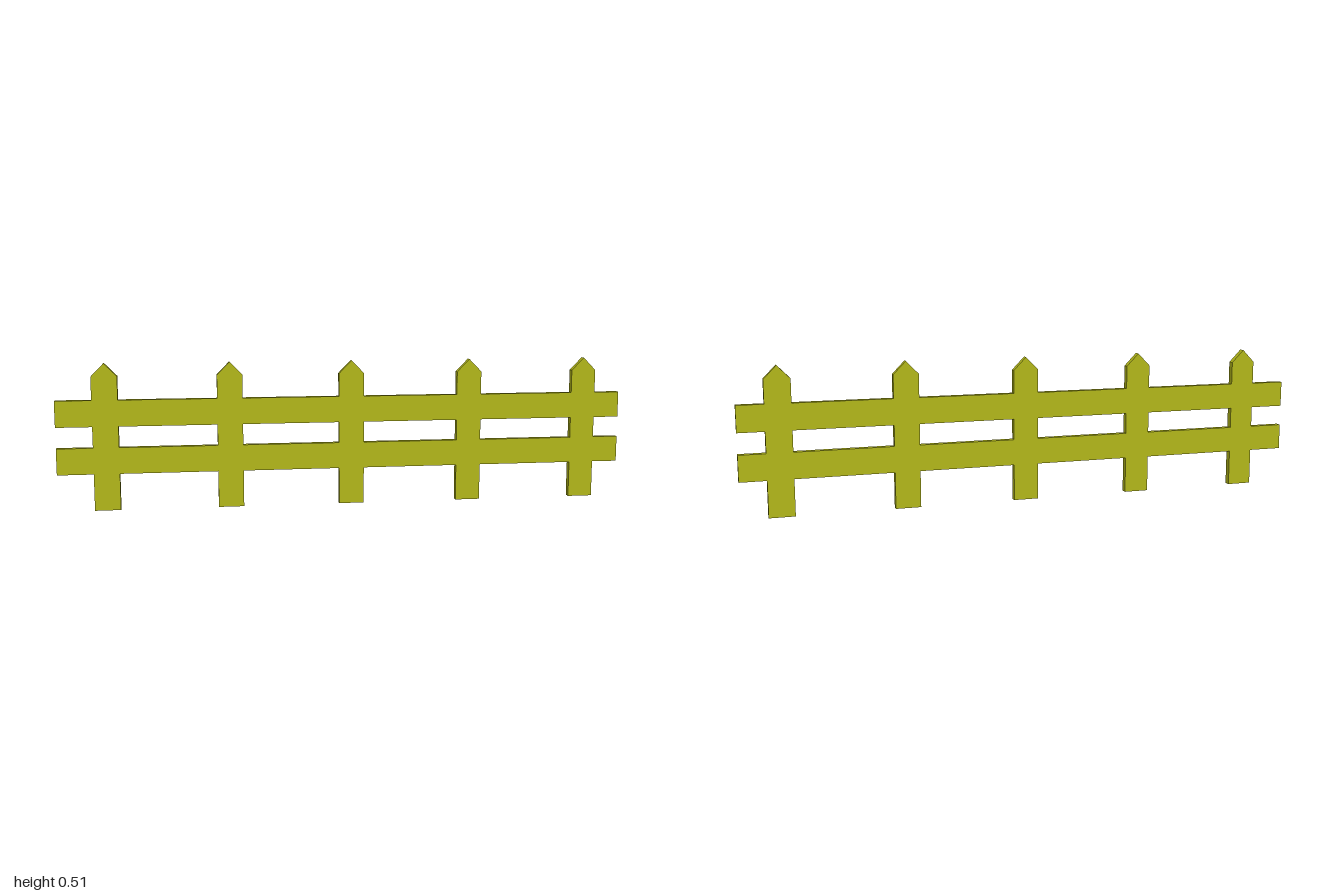
import * as THREE from 'three';

export function createModel() {
  const fence = new THREE.Group();
  fence.name = 'fence';
  const paint = new THREE.MeshStandardMaterial({ color: 0xb2b71a });
  const depth = 0.023;
  const half = 0.044; // half the width of a post
  const posts = [-0.833, -0.409, 0.016, 0.44, 0.865];

  // Pointed post: a flat board with a 45 degree tip
  const outline = new THREE.Shape([
    [-half, 0], [half, 0], [half, 0.463], [0, 0.508], [-half, 0.463],
  ].map(([x, y]) => new THREE.Vector2(x, y)));
  const postGeometry = new THREE.ExtrudeGeometry(outline, { depth, bevelEnabled: false });
  postGeometry.translate(0, 0, -depth / 2);
  posts.forEach((x, i) => {
    const post = new THREE.Mesh(postGeometry, paint);
    post.name = `post${i + 1}`;
    post.position.x = x;
    fence.add(post);
  });

  // Rails lie flush with the posts, so each is cut into lengths between them
  const stops = [-1, ...posts.flatMap((x) => [x - half, x + half]), 1];
  for (const [name, bottom, top] of [['lowerRail', 0.127, 0.218], ['upperRail', 0.291, 0.382]]) {
    const rail = new THREE.Group();
    rail.name = name;
    for (let i = 0; i < stops.length; i += 2) {
      const [a, b] = [stops[i], stops[i + 1]];
      const board = new THREE.Mesh(new THREE.BoxGeometry(b - a, top - bottom, depth), paint);
      board.name = `${name}Board${i / 2 + 1}`;
      board.position.set((a + b) / 2, (bottom + top) / 2, 0);
      rail.add(board);
    }
    fence.add(rail);
  }
  return fence;
}
